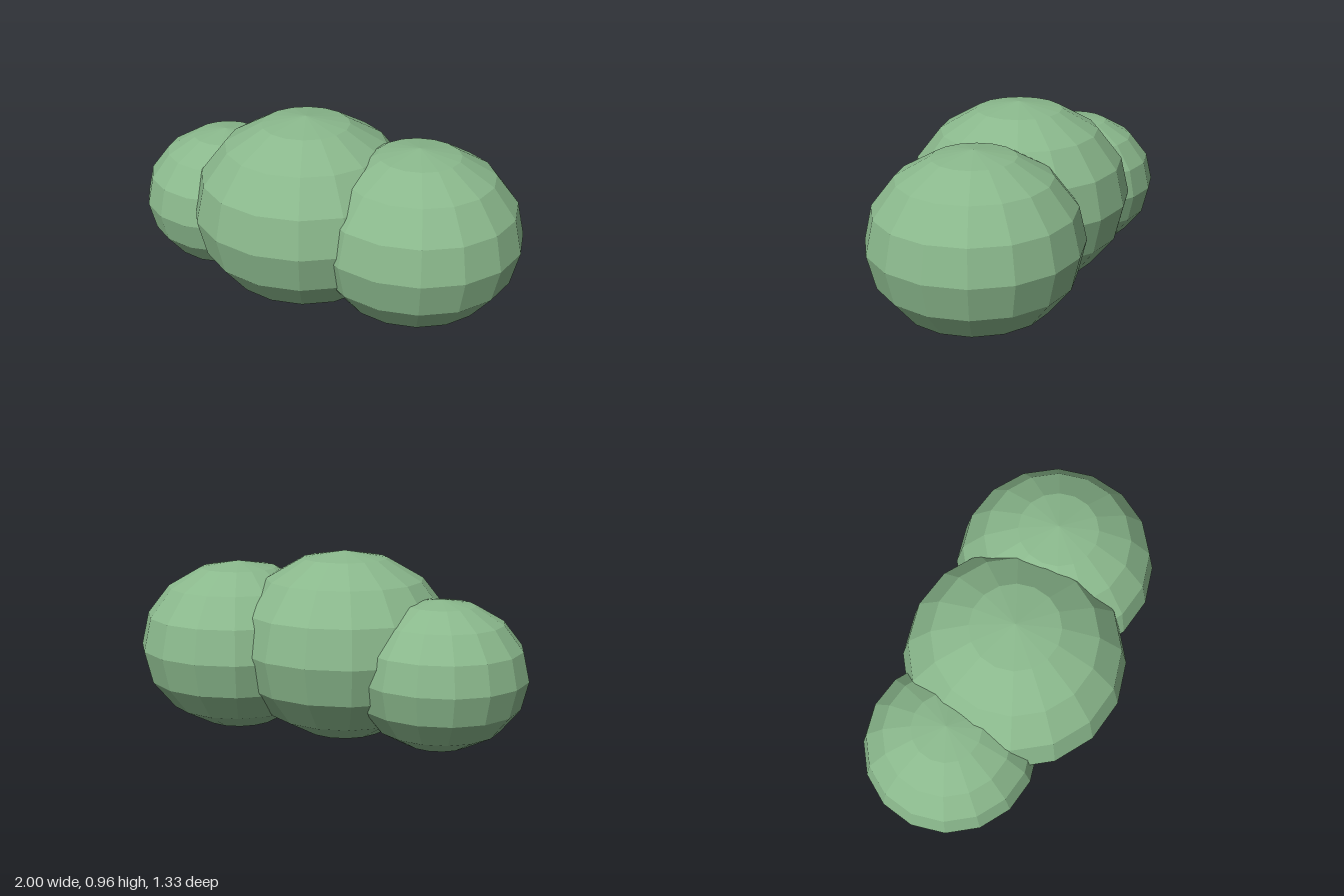
import * as THREE from 'three';

// Name, centre and horizontal radius of each lobe
const LOBES = [
  ['smallLobe', [-0.565, 0.398, 0.2], 0.436],
  ['middleLobe', [-0.04, 0.485, 0.1], 0.565],
  ['backLobe', [0.48, 0.45, -0.15], 0.518],
];
const SQUASH = 0.85; // height relative to width

export function createModel() {
  const group = new THREE.Group();
  group.name = 'bush';
  const leaves = new THREE.MeshStandardMaterial({ color: 0x8ab88c, flatShading: true });

  // Overlapping, slightly flattened low-poly spheres
  for (const [name, centre, radius] of LOBES) {
    const lobe = new THREE.Mesh(new THREE.SphereGeometry(radius, 16, 8), leaves);
    lobe.name = name;
    lobe.scale.y = SQUASH;
    lobe.position.set(...centre);
    group.add(lobe);
  }
  return group;
}
